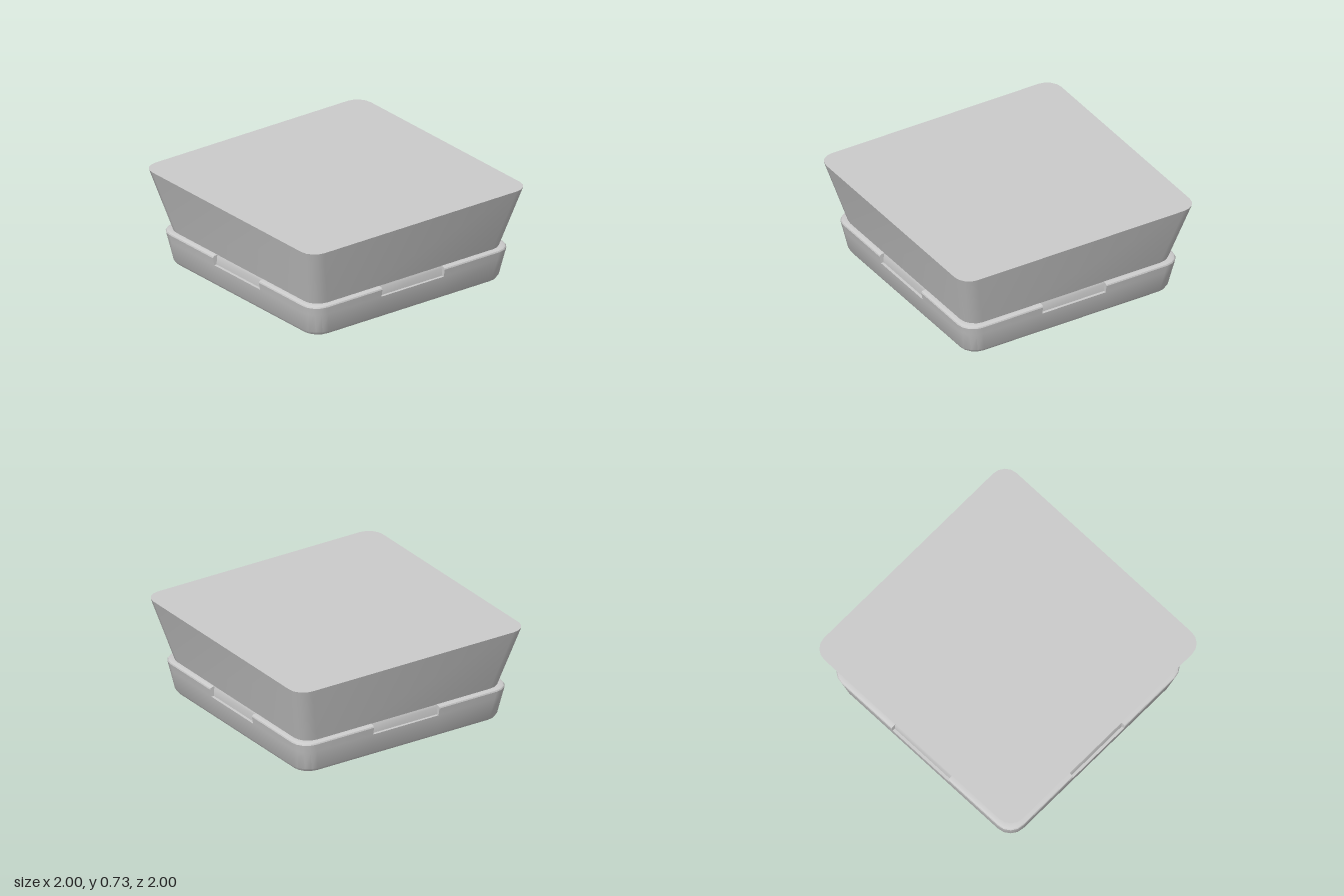
import * as THREE from 'three';
import { toCreasedNormals } from 'three/addons/utils/BufferGeometryUtils.js';

const ARC = 4; // segments per rounded corner

// Rounded square outline; d > 0 pushes a notch inward at the middle of each side.
function outline({ h, y, r = 0, d }) {
  const points = [];
  for (let k = 0; k < 4; k++) {
    const side = [];
    if (d !== undefined) {
      const w = k % 2 ? 0.27 : 0.285;
      side.push([h, -w], [h - d, -w], [h - d, w], [h, w]);
    }
    for (let i = 0; i <= ARC; i++) {
      const a = (i / ARC) * Math.PI / 2;
      side.push([h - r + r * Math.cos(a), h - r + r * Math.sin(a)]);
    }
    const c = Math.round(Math.cos(k * Math.PI / 2)), s = Math.round(Math.sin(k * Math.PI / 2));
    for (const [x, z] of side) points.push(new THREE.Vector3(x * c - z * s, y, x * s + z * c));
  }
  return points;
}

// Skin a stack of outlines, leaving out collapsed triangles.
function loft(name, rings, material, crease = 0.5) {
  const loops = rings.map(outline);
  const positions = [];
  const tri = (a, b, c) => {
    if (new THREE.Triangle(a, b, c).getArea() < 1e-8) return;
    for (const p of [a, b, c]) positions.push(p.x, p.y, p.z);
  };
  for (let i = 0; i < loops.length - 1; i++) {
    const lo = loops[i], hi = loops[i + 1], n = lo.length;
    for (let j = 0; j < n; j++) {
      const m = (j + 1) % n;
      tri(lo[j], hi[j], lo[m]);
      tri(hi[j], hi[m], lo[m]);
    }
  }
  const geometry = new THREE.BufferGeometry();
  geometry.setAttribute('position', new THREE.Float32BufferAttribute(positions, 3));
  geometry.computeVertexNormals();
  const mesh = new THREE.Mesh(toCreasedNormals(geometry, crease), material);
  mesh.name = name;
  return mesh;
}

export function createModel() {
  const group = new THREE.Group();
  group.name = 'flaredBoxOnTray';
  const grey = new THREE.MeshStandardMaterial({ color: 0xcccccc, side: THREE.DoubleSide });

  // Flared upper body with a flat top
  group.add(loft('upperBody', [
    { h: 0.856, y: 0.19, r: 0.12 },
    { h: 1, y: 0.73, r: 0.12 },
    { h: 0, y: 0.73 },
  ], grey));

  // Lower tray: bevelled foot, sloped wall, a notch in each side of the rim
  group.add(loft('lowerTray', [
    { h: 0.66, y: 0, r: 0.07, d: 0 },
    { h: 0.84, y: 0, r: 0.11, d: 0 },
    { h: 0.863, y: 0.008, r: 0.12, d: 0 },
    { h: 0.877, y: 0.03, r: 0.13, d: 0 },
    { h: 0.905, y: 0.185, r: 0.13, d: 0 },
    { h: 0.905, y: 0.185, r: 0.13, d: 0.022 },
    { h: 0.916, y: 0.243, r: 0.13, d: 0.036 },
    { h: 0.912, y: 0.253, r: 0.13, d: 0.036 },
    { h: 0.898, y: 0.26, r: 0.12, d: 0.024 },
    { h: 0.865, y: 0.26, r: 0.11, d: 0 },
  ], grey));

  // Stepped hollow seen from underneath, from its ceiling down to the foot
  group.add(loft('steppedCavity', [
    { h: 0, y: 0.6 },
    { h: 0.57, y: 0.6, r: 0.06 },
    { h: 0.55, y: 0.27, r: 0.06 },
    { h: 0.575, y: 0.27, r: 0.07 },
    { h: 0.575, y: 0.13, r: 0.07 },
    { h: 0.6, y: 0.06, r: 0.08 },
    { h: 0.66, y: 0.06, r: 0.07 },
    { h: 0.66, y: 0, r: 0.07 },
  ], grey, 0.42));

  return group;
}
